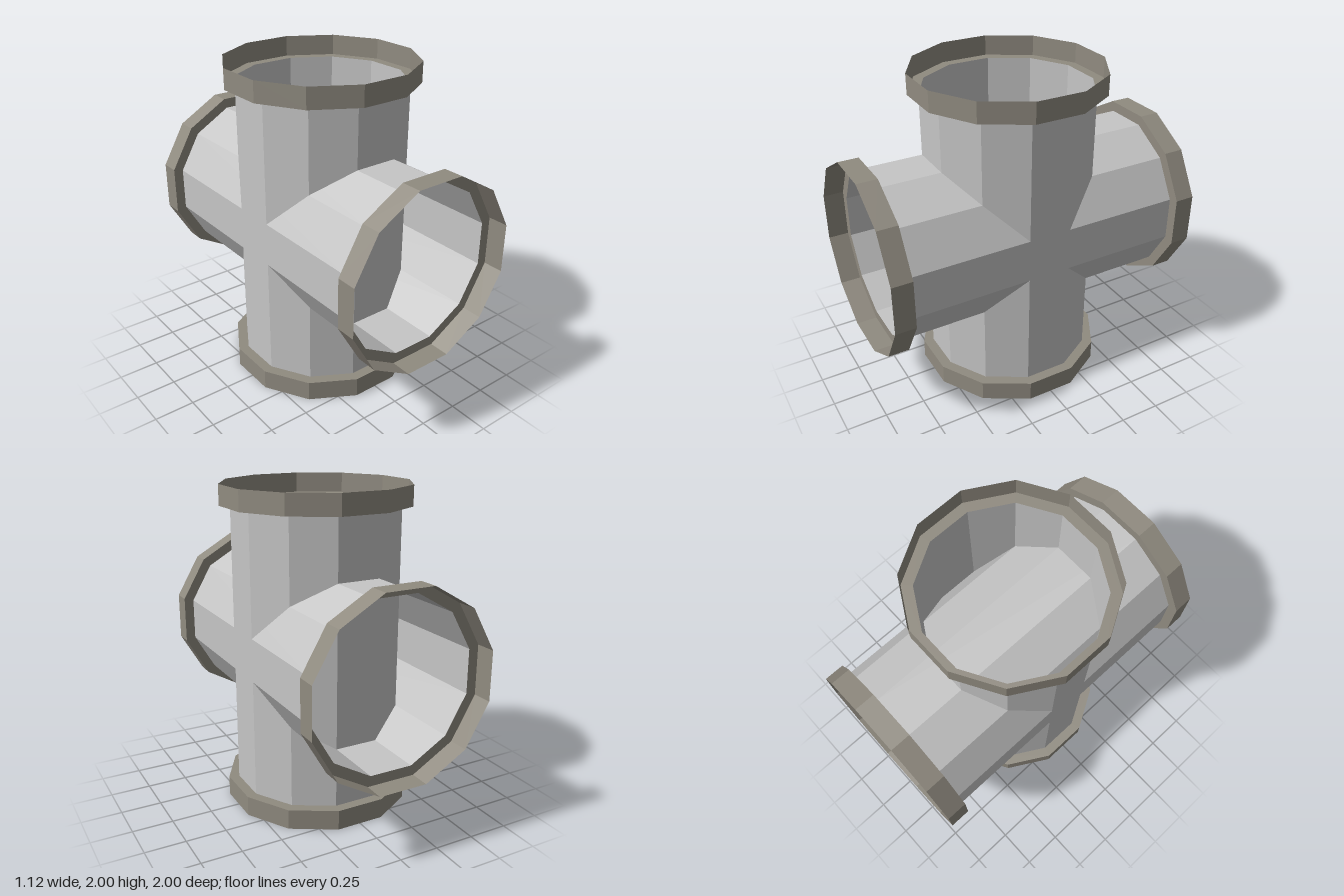
import * as THREE from 'three';

const SIDES = 12;
const TURN = Math.PI / SIDES; // puts flat sides on the axes
const circumradius = (apothem) => apothem / Math.cos(TURN);

const PIPE_R = circumradius(0.5);
const COLLAR_R = circumradius(0.5625);
const PIPE_END = 0.875; // distance of the pipe mouth from the centre
const COLLAR_END = 1;

export function createModel() {
  const pipeGrey = new THREE.MeshStandardMaterial({
    name: 'pipe grey', color: 0xc6c6c6, side: THREE.DoubleSide, flatShading: true,
  });
  const collarBrown = new THREE.MeshStandardMaterial({
    name: 'collar brown', color: 0x908b80, side: THREE.DoubleSide, flatShading: true,
  });

  // open twelve-sided tube
  const pipeGeometry = new THREE.CylinderGeometry(PIPE_R, PIPE_R, PIPE_END * 2, SIDES, 1, true);
  pipeGeometry.rotateY(TURN);

  // collar: a flat shoulder around the pipe mouth and an open outer wall
  const collarGeometry = new THREE.LatheGeometry([
    new THREE.Vector2(PIPE_R, PIPE_END),
    new THREE.Vector2(COLLAR_R, PIPE_END),
    new THREE.Vector2(COLLAR_R, COLLAR_END),
  ], SIDES, TURN);

  // one straight pipe along y with a collar at each end
  function makePipe(name) {
    const group = new THREE.Group();
    group.name = name;
    const tube = new THREE.Mesh(pipeGeometry, pipeGrey);
    tube.name = name + 'Tube';
    group.add(tube);
    for (const end of [0, 1]) {
      const collar = new THREE.Mesh(collarGeometry, collarBrown);
      collar.name = name + (end ? 'SecondCollar' : 'FirstCollar');
      collar.rotation.x = end * Math.PI;
      group.add(collar);
    }
    group.position.y = 1;
    return group;
  }

  const model = new THREE.Group();
  model.name = 'pipeCross';
  const upright = makePipe('uprightPipe');
  const level = makePipe('levelPipe');
  level.rotation.x = Math.PI / 2;
  model.add(upright, level);
  return model;
}
